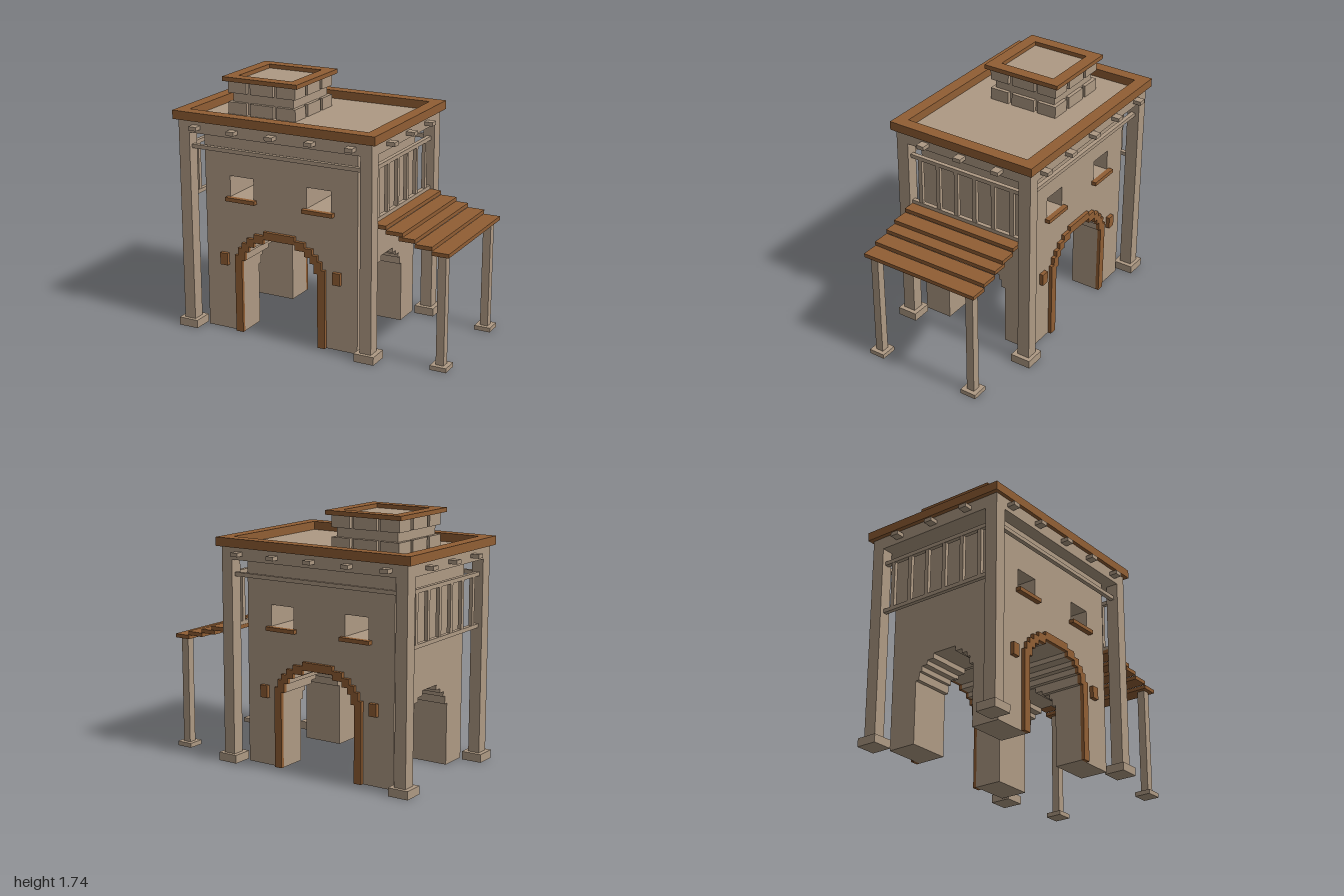
import * as THREE from 'three';

const stone = new THREE.MeshStandardMaterial({ color: 0xae9983 });
stone.name = 'tan stone';
const wood = new THREE.MeshStandardMaterial({ color: 0x905e34 });
wood.name = 'brown wood';

// Box given by its min and max on each axis
function box(parent, name, mat, x0, x1, y0, y1, z0, z1) {
  const mesh = new THREE.Mesh(new THREE.BoxGeometry(x1 - x0, y1 - y0, z1 - z0), mat);
  mesh.position.set((x0 + x1) / 2, (y0 + y1) / 2, (z0 + z1) / 2);
  mesh.name = name;
  parent.add(mesh);
  return mesh;
}

// Box given by centre and half sizes in x and z
function block(parent, name, mat, x, z, hx, hz, y0, y1) {
  return box(parent, name, mat, x - hx, x + hx, y0, y1, z - hz, z + hz);
}

function rectPath(x0, x1, y0, y1, path = new THREE.Path()) {
  path.moveTo(x0, y0);
  path.lineTo(x1, y0);
  path.lineTo(x1, y1);
  path.lineTo(x0, y1);
  path.closePath();
  return path;
}

// Flat square rim with an open middle
function rim(parent, name, x, hx, hz, width, y0, y1) {
  const shape = rectPath(-hx, hx, -hz, hz, new THREE.Shape());
  shape.holes.push(rectPath(-hx + width, hx - width, -hz + width, hz - width));
  const geo = new THREE.ExtrudeGeometry(shape, { depth: y1 - y0, bevelEnabled: false });
  geo.rotateX(-Math.PI / 2);
  const mesh = new THREE.Mesh(geo, wood);
  mesh.position.set(x, y0, 0);
  mesh.name = name;
  parent.add(mesh);
}

// Stepped arches as [half width, height it reaches]
const frontArch = [[0.29, 0.525], [0.265, 0.59], [0.235, 0.63], [0.195, 0.665], [0.12, 0.70]];
const frontArchOuter = [[0.345, 0.555], [0.32, 0.61], [0.29, 0.65], [0.25, 0.69], [0.195, 0.725], [0.12, 0.755]];
const sideArch = [[0.235, 0.43], [0.207, 0.485], [0.185, 0.52], [0.143, 0.55], [0.09, 0.585]];

function halfWidthAt(arch, y) {
  const step = arch.find(([, top]) => y < top);
  return step ? step[0] : 0;
}

// Corners of a stepped arch from its left foot to its right foot
function archPoints(arch) {
  const left = [];
  let y = 0;
  for (const [w, top] of arch) {
    left.push([-w, y], [-w, top]);
    y = top;
  }
  return [...left, ...left.slice().reverse().map(([x, h]) => [-x, h])];
}

const HX = 0.5775, HZ = 0.435;

function buildBody() {
  const body = new THREE.Group();
  body.name = 'body';
  // Lower piers, cut by two crossing stepped tunnels
  const levels = [0, ...frontArch.map(s => s[1]), ...sideArch.map(s => s[1])].sort((a, b) => a - b);
  for (let i = 0; i < levels.length - 1; i++) {
    const [y0, y1] = [levels[i], levels[i + 1]];
    const a = halfWidthAt(frontArch, (y0 + y1) / 2);
    const b = halfWidthAt(sideArch, (y0 + y1) / 2);
    for (const s of [-1, 1]) {
      const x0 = s < 0 ? -HX : a, x1 = s < 0 ? -a : HX;
      if (b > 0) {
        box(body, 'pier', stone, x0, x1, y0, y1, b, HZ);
        box(body, 'pier', stone, x0, x1, y0, y1, -HZ, -b);
      } else {
        box(body, 'archWall', stone, x0, x1, y0, y1, -HZ, HZ);
      }
    }
  }
  // Upper storey with windows running through
  const wall = rectPath(-HX, HX, 0.70, 1.395, new THREE.Shape());
  for (const s of [-1, 1]) wall.holes.push(rectPath(s * 0.2925 - 0.09, s * 0.2925 + 0.09, 0.96, 1.105));
  const geo = new THREE.ExtrudeGeometry(wall, { depth: 2 * HZ, bevelEnabled: false });
  geo.translate(0, 0, -HZ);
  const upper = new THREE.Mesh(geo, stone);
  upper.name = 'upperStorey';
  body.add(upper);
  return body;
}

// Wooden details of one face: arch trim, window sills and lamps
function buildFaceDetails() {
  const face = new THREE.Group();
  face.name = 'faceDetails';
  const points = [...archPoints(frontArchOuter), ...archPoints(frontArch).reverse()];
  const shape = new THREE.Shape(points.map(([x, y]) => new THREE.Vector2(x, y)));
  const trim = new THREE.Mesh(new THREE.ExtrudeGeometry(shape, { depth: 0.025, bevelEnabled: false }), wood);
  trim.position.z = HZ;
  trim.name = 'archTrim';
  face.add(trim);
  for (const s of [-1, 1]) {
    block(face, 'windowSill', wood, s * 0.2925, HZ + 0.018, 0.114, 0.018, 0.933, 0.96);
    block(face, 'wallLamp', wood, s * 0.432, HZ + 0.014, 0.029, 0.014, 0.47, 0.555);
  }
  return face;
}

// Columns, slab, railings, beam ends and rim of the roof
function buildFrame() {
  const frame = new THREE.Group();
  frame.name = 'frame';
  for (const sx of [-1, 1]) {
    for (const sz of [-1, 1]) {
      block(frame, 'column', stone, sx * 0.68, sz * 0.48, 0.0415, 0.0445, 0.055, 1.395);
      block(frame, 'columnBase', stone, sx * 0.68, sz * 0.477, 0.0725, 0.0725, 0, 0.057);
    }
    // Side railing
    block(frame, 'topRail', stone, sx * 0.68, 0, 0.015, HZ, 1.28, 1.307);
    block(frame, 'bottomRail', stone, sx * 0.68, 0, 0.015, HZ, 0.928, 0.955);
    for (let i = 0; i < 6; i++) {
      block(frame, 'slat', stone, sx * 0.68, (i - 2.5) * 0.1455, 0.013, 0.0145, 0.955, 1.28);
    }
    // Rail across front and back
    block(frame, 'crossRail', stone, 0, sx * 0.48, 0.64, 0.015, 1.28, 1.307);
  }
  block(frame, 'roofSlab', stone, 0, 0, 0.7215, 0.5245, 1.395, 1.482);
  for (let i = -2; i <= 2; i++) block(frame, 'beamEnd', stone, i * 0.29, 0, 0.029, 0.58, 1.424, 1.451);
  for (let i = -1; i <= 1; i++) block(frame, 'sideBeamEnd', stone, 0, i * 0.29, 0.781, 0.029, 1.424, 1.451);
  rim(frame, 'roofRim', 0, 0.7525, 0.55, 0.086, 1.48, 1.54);
  return frame;
}

// Block-built roof tower
function buildTower() {
  const tower = new THREE.Group();
  tower.name = 'roofTower';
  tower.position.x = -0.235;
  block(tower, 'towerCore', stone, 0, 0, 0.233, 0.233, 1.48, 1.712);
  const cuts = [[-0.2585, -0.1165], [-0.088, 0.088], [0.1165, 0.2585]];
  for (const [y0, y1] of [[1.482, 1.565], [1.628, 1.712]]) {
    for (const [x0, x1] of cuts) {
      for (const [z0, z1] of cuts) {
        if (x0 * x1 < 0 && z0 * z1 < 0) continue;
        box(tower, 'towerBlock', stone, x0, x1, y0, y1, z0, z1);
      }
    }
  }
  rim(tower, 'towerRim', 0, 0.2875, 0.2875, 0.082, 1.71, 1.74);
  return tower;
}

// Stepped plank awning on two posts
function buildAwning() {
  const awning = new THREE.Group();
  awning.name = 'awning';
  const planks = [[0.445, 0.562], [0.56, 0.68], [0.652, 0.766], [0.764, 0.885], [0.882, 1.0]];
  planks.forEach(([x0, x1], i) => {
    const top = 0.93 - i * 0.03;
    box(awning, 'awningPlank', wood, x0, x1, top - 0.027, top, -HZ, HZ);
  });
  for (const s of [-1, 1]) {
    block(awning, 'awningPost', stone, 0.942, s * 0.378, 0.028, 0.028, 0.03, 0.785);
    block(awning, 'awningPostBase', stone, 0.942, s * 0.378, 0.058, 0.058, 0, 0.031);
  }
  return awning;
}

export function createModel() {
  const model = new THREE.Group();
  model.name = 'gatehouse';
  const house = new THREE.Group();
  house.name = 'house';
  house.position.x = -0.2175;
  const back = buildFaceDetails();
  back.rotation.y = Math.PI;
  house.add(buildBody(), buildFaceDetails(), back, buildFrame(), buildTower());
  model.add(house, buildAwning());
  return model;
}
